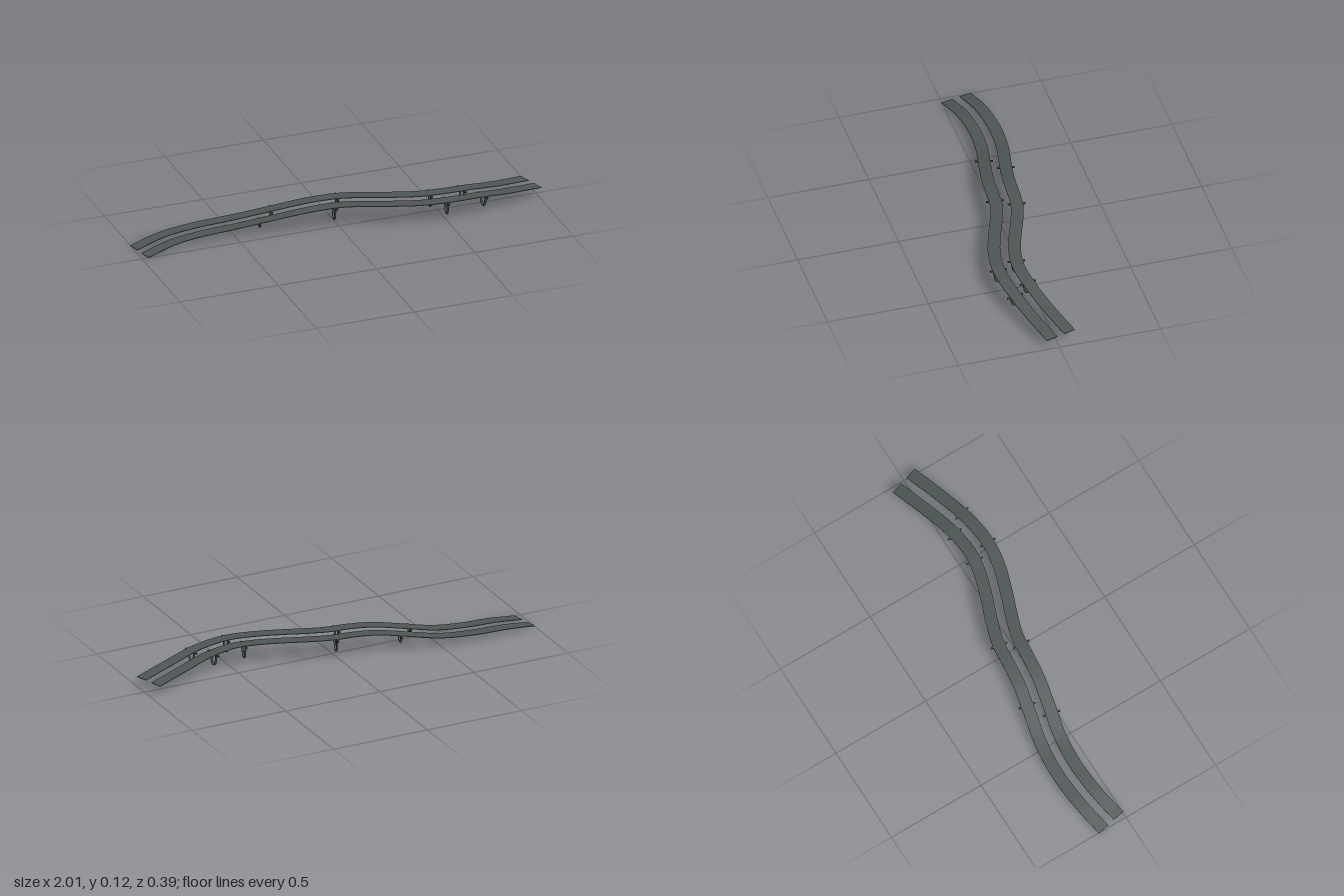
import * as THREE from 'three';

const LANE_OFFSET = 0.049, HALF_WIDTH = 0.03, THICKNESS = 0.003, FOOT_Y = 0.055;

// Centre line between the two lanes (top surface)
const centreLine = new THREE.CatmullRomCurve3([
  [-0.985, 0.007, -0.075], [-0.83, 0.036, -0.107], [-0.66, 0.049, -0.121], [-0.5, 0.062, -0.11],
  [-0.345, 0.089, -0.078], [-0.2, 0.114, -0.05], [-0.08, 0.124, -0.038], [0.02, 0.125, -0.028],
  [0.12, 0.125, 0.001], [0.25, 0.125, 0.049], [0.38, 0.125, 0.088], [0.5, 0.125, 0.102],
  [0.65, 0.114, 0.084], [0.8, 0.089, 0.045], [0.983, 0.062, -0.012],
].map((p) => new THREE.Vector3(...p)));

// Position and horizontal sideways direction of a lane at parameter u
function laneFrame(u, side) {
  const t = centreLine.getTangent(u);
  const across = new THREE.Vector3(-t.z, 0, t.x).normalize();
  const pos = centreLine.getPoint(u).addScaledVector(across, side * LANE_OFFSET);
  return { pos, across };
}

function frameAtX(x, side) {
  let lo = 0, hi = 1;
  for (let i = 0; i < 30; i++) {
    const mid = (lo + hi) / 2;
    if (laneFrame(mid, side).pos.x < x) lo = mid; else hi = mid;
  }
  return laneFrame(lo, side);
}

// Thin slab swept along a lane; each face strip has its own vertices for sharp edges
function laneGeometry(side, steps = 84) {
  const corners = [[-1, 0], [1, 0], [1, -1], [-1, -1]];
  const positions = [], index = [];
  const rings = [];
  for (let i = 0; i <= steps; i++) {
    const { pos, across } = laneFrame(i / steps, side);
    rings.push(corners.map(([a, b]) => {
      const p = pos.clone().addScaledVector(across, a * HALF_WIDTH);
      p.y += b * THICKNESS;
      return p;
    }));
  }
  for (let k = 0; k < 4; k++) {
    const base = positions.length / 3;
    rings.forEach((r) => positions.push(...r[k].toArray(), ...r[(k + 1) % 4].toArray()));
    for (let i = 0; i < steps; i++) {
      const a = base + i * 2;
      index.push(a, a + 1, a + 2, a + 1, a + 3, a + 2);
    }
  }
  // End caps
  [[rings[0], true], [rings[steps], false]].forEach(([ring, start]) => {
    const b = positions.length / 3;
    ring.forEach((p) => positions.push(...p.toArray()));
    if (start) index.push(b, b + 2, b + 1, b, b + 3, b + 2);
    else index.push(b, b + 1, b + 2, b, b + 2, b + 3);
  });
  const geometry = new THREE.BufferGeometry();
  geometry.setAttribute('position', new THREE.Float32BufferAttribute(positions, 3));
  geometry.setIndex(index);
  geometry.computeVertexNormals();
  return geometry;
}

// Crossbar under the lane with a U-shaped hanger below it
function makeSupport(x, side, material) {
  const { pos, across } = frameAtX(x, side);
  const support = new THREE.Group();
  support.name = 'support';
  const barY = pos.y - 0.007;
  support.position.set(pos.x, barY, pos.z);
  support.rotation.y = Math.atan2(across.x, across.z);

  const bar = new THREE.Mesh(new THREE.BoxGeometry(0.008, 0.007, 0.084), material);
  bar.name = 'crossbar';

  const drop = barY - FOOT_Y;
  const half = [[0.022, 0], [0.019, 0.4], [0.015, 0.75], [0.009, 0.94]];
  const path = [
    ...half.map(([z, d]) => new THREE.Vector3(0, -d * drop, -z)),
    new THREE.Vector3(0, -drop, 0),
    ...half.slice().reverse().map(([z, d]) => new THREE.Vector3(0, -d * drop, z)),
  ];
  const hanger = new THREE.Mesh(
    new THREE.TubeGeometry(new THREE.CatmullRomCurve3(path), 28, 0.0052, 8), material);
  hanger.name = 'uHanger';
  support.add(bar, hanger);
  return support;
}

export function createModel() {
  const model = new THREE.Group();
  model.name = 'twinTrack';
  const material = new THREE.MeshStandardMaterial({ color: 0x4f5757, side: THREE.DoubleSide });

  const lanes = [
    { name: 'frontLane', side: 1, supports: [-0.39, -0.03, 0.49, 0.685] },
    { name: 'backLane', side: -1, supports: [-0.3, 0.02, 0.445, 0.61] },
  ];
  for (const { name, side, supports } of lanes) {
    const lane = new THREE.Group();
    lane.name = name;
    const deck = new THREE.Mesh(laneGeometry(side), material);
    deck.name = 'deck';
    lane.add(deck);
    supports.forEach((x) => lane.add(makeSupport(x, side, material)));
    model.add(lane);
  }
  return model;
}
